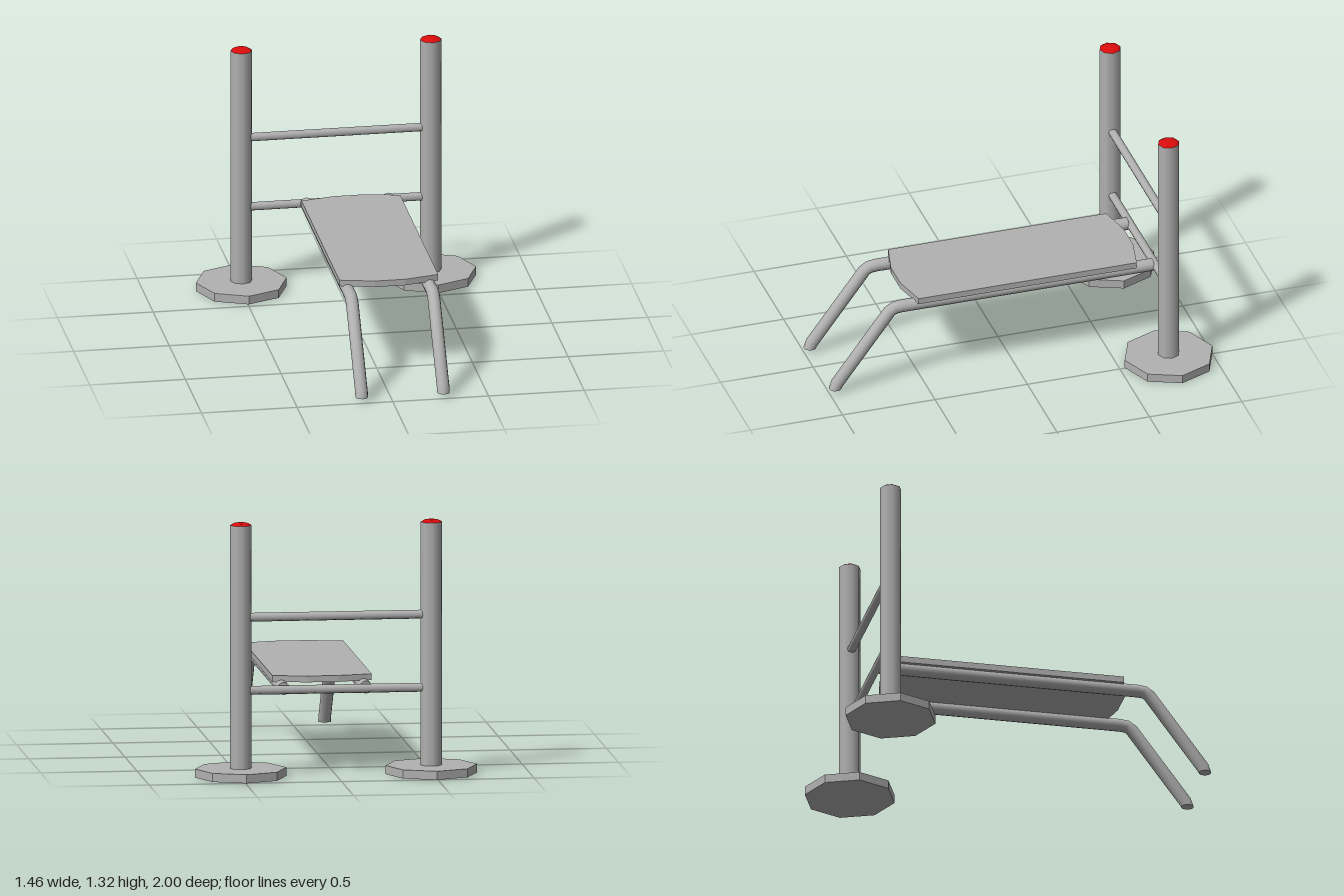
import * as THREE from 'three';
import { mergeVertices, toCreasedNormals } from 'three/addons/utils/BufferGeometryUtils.js';

const steel = new THREE.MeshStandardMaterial({ color: 0xb2b2b2 });
steel.name = 'grey steel';
const red = new THREE.MeshStandardMaterial({ color: 0xdd0c0c });
red.name = 'red cap';

const POST_X = 0.495, POST_Z = -0.765;

function add(parent, name, geometry, material, x = 0, y = 0, z = 0) {
  const mesh = new THREE.Mesh(geometry, material);
  mesh.name = name;
  mesh.position.set(x, y, z);
  parent.add(mesh);
  return mesh;
}

// Bent tube: each section is [z, y, tilt of the ring about x]
function bentTube(radius, sides, sections) {
  const n = sections.length - 1;
  let geo = new THREE.CylinderGeometry(radius, radius, 1, sides, n);
  const p = geo.attributes.position;
  for (let i = 0; i < p.count; i++) {
    const [z, y, tilt] = sections[Math.round((0.5 - p.getY(i)) * n)];
    const up = p.getZ(i);
    p.setXYZ(i, p.getX(i), y + up * Math.cos(tilt), z + up * Math.sin(tilt));
  }
  geo.deleteAttribute('uv');
  geo.deleteAttribute('normal');
  geo = mergeVertices(geo);
  return toCreasedNormals(geo, 0.85);
}

export function createModel() {
  const model = new THREE.Group();
  model.name = 'workoutBench';

  // Uprights with octagonal feet and red caps
  for (const side of [-1, 1]) {
    const upright = new THREE.Group();
    upright.name = side > 0 ? 'leftUpright' : 'rightUpright';
    upright.position.set(side * POST_X, 0, POST_Z);
    model.add(upright);

    const foot = new THREE.CylinderGeometry(0.237, 0.237, 0.045, 8);
    add(upright, 'foot', toCreasedNormals(foot, 0.5), steel, 0, 0.0225, 0);
    add(upright, 'post', new THREE.CylinderGeometry(0.056, 0.056, 1.268, 8), steel, 0, 0.677, 0);
    const cap = new THREE.LatheGeometry([
      new THREE.Vector2(0.056, 1.311),
      new THREE.Vector2(0.038, 1.321),
      new THREE.Vector2(0, 1.323),
    ], 8);
    add(upright, 'postCap', cap, red);
  }

  // Crossbars between the posts
  for (const [name, y] of [['lowerCrossbar', 0.449], ['upperCrossbar', 0.83]]) {
    const bar = add(model, name, new THREE.CylinderGeometry(0.023, 0.023, 0.92, 8), steel, 0, y, POST_Z);
    bar.rotation.z = Math.PI / 2;
  }

  // Bench rails that bend down into front legs
  const rail = bentTube(0.033, 12, [
    [-0.75, 0.452, 0],
    [0.61, 0.452, 0],
    [0.645, 0.448, 0.35],
    [0.672, 0.432, 0.927],
    [0.958, 0.049, 0.927],
    [0.967, 0.023, Math.PI / 2],
  ]);
  add(model, 'rightRailLeg', rail, steel, -0.157);
  add(model, 'leftRailLeg', rail, steel, 0.27);

  // Bench board with shallow faceted ends, offset to the left
  const outline = [
    [-0.258, -0.53], [-0.08, -0.572], [0.08, -0.572], [0.258, -0.53],
    [0.258, 0.65], [0.08, 0.688], [-0.08, 0.688], [-0.258, 0.65],
  ].map(([x, y]) => new THREE.Vector2(x, y));
  const board = new THREE.ExtrudeGeometry(new THREE.Shape(outline), { depth: 0.033, bevelEnabled: false });
  board.rotateX(-Math.PI / 2);
  add(model, 'benchBoard', board, steel, 0.058, 0.474, 0);

  return model;
}
